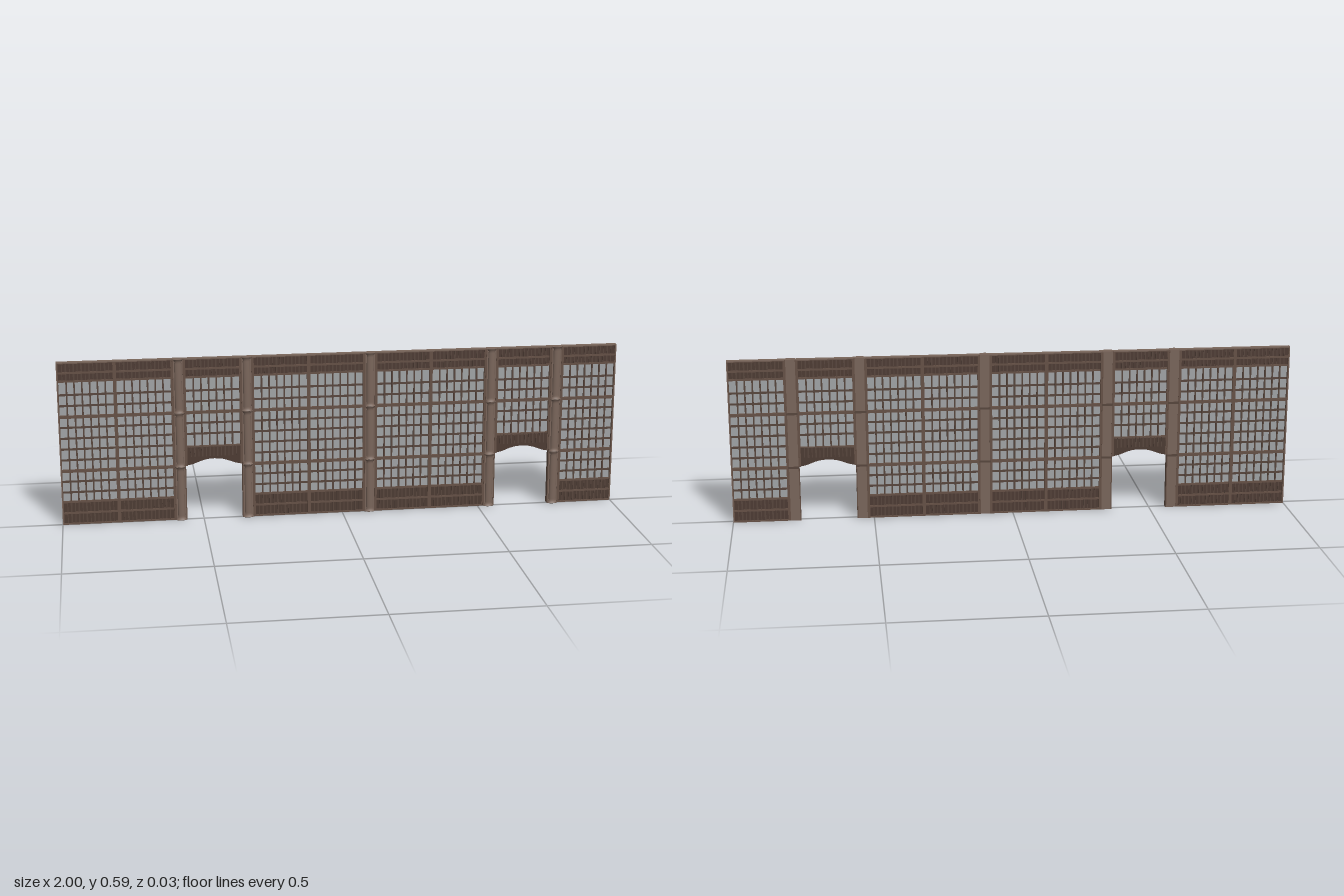
import * as THREE from 'three';
import { mergeGeometries } from 'three/addons/utils/BufferGeometryUtils.js';

const H = 0.59, ZB = -0.015, ZF = 0.004, ZM = (ZB + ZF) / 2;
const LEVELS = [0, 0.197, 0.394, H];      // storey lines
const PITCH = 0.0394;                     // lattice row height
const SILL = 0.083, HEAD = 0.522, DOOR_SILL = 0.268;

const mat = color => new THREE.MeshStandardMaterial({ color });
const post = mat(0x7a665b), rail = mat(0x665146), lattice = mat(0x58463d);
const board = mat(0x4d3b33), glass = mat(0xa2a5a7);

// Box given by its limits
function box(x0, x1, y0, y1, z0 = ZB, z1 = ZF) {
  return new THREE.BoxGeometry(x1 - x0, y1 - y0, z1 - z0)
    .translate((x0 + x1) / 2, (y0 + y1) / 2, (z0 + z1) / 2);
}

function part(name, geometries, material) {
  const mesh = new THREE.Mesh(mergeGeometries(geometries), material);
  mesh.name = name;
  return mesh;
}

// Board over a doorway, its lower edge a shallow arch
function archBoard(x0, x1) {
  const w = x1 - x0, s = new THREE.Shape();
  s.moveTo(x0, DOOR_SILL);
  s.lineTo(x0, 0.2);
  s.bezierCurveTo(x0 + w * 0.2, 0.203, x0 + w * 0.25, 0.223, x0 + w / 2, 0.223);
  s.bezierCurveTo(x1 - w * 0.25, 0.223, x1 - w * 0.2, 0.203, x1, 0.2);
  s.lineTo(x1, DOOR_SILL);
  return s;
}
function extrude(shape, z0, z1) {
  return new THREE.ExtrudeGeometry(shape, { depth: z1 - z0, bevelEnabled: false, curveSegments: 8 })
    .translate(0, 0, z0);
}

// One 0.2 wide panel of glass, lattice and slatted boards
function makePanel(x0, x1, isDoor) {
  const g = new THREE.Group();
  g.name = isDoor ? 'doorPanel' : 'wallPanel';
  const low = isDoor ? DOOR_SILL : SILL;
  const e = 0.006, a = x0 + e, b = x1 - e;

  g.add(part('panes', [box(a, b, low, HEAD, ZM - 0.001, ZM + 0.001)], glass));

  const bars = [];
  const n = 7, step = (b - a) / n;
  for (let i = 1; i < n; i++) {
    const x = a + i * step;
    bars.push(box(x - 0.0028, x + 0.0028, low, HEAD, ZM - 0.005, ZM + 0.005));
  }
  for (let y = PITCH; y < HEAD - 0.01; y += PITCH) {
    if (y > low + 0.01) bars.push(box(a, b, y - 0.0035, y + 0.0035, ZM - 0.004, ZM + 0.004));
  }
  g.add(part('lattice', bars, lattice));

  // Solid boards at head and foot
  const boards = [box(a, b, HEAD, H - 0.004, ZM - 0.004, ZM + 0.004)];
  if (!isDoor) boards.push(box(a, b, 0.004, SILL, ZM - 0.004, ZM + 0.004));
  g.add(part('boards', boards, board));
  if (isDoor) g.add(part('archBoard', [extrude(archBoard(x0, x1), ZM - 0.007, ZM + 0.007)], board));

  // Upright slats over the boards
  const slats = [];
  const m = n * 2;
  for (let i = 1; i < m; i++) {
    const x = a + (i * (b - a)) / m, w = i % 2 ? 0.0016 : 0.0028;
    slats.push(box(x - w, x + w, HEAD, H - 0.004, ZM - 0.006, ZM + 0.006));
    slats.push(isDoor
      ? box(x - w, x + w, 0.232, DOOR_SILL, ZM - 0.009, ZM + 0.009)
      : box(x - w, x + w, 0.004, SILL, ZM - 0.006, ZM + 0.006));
  }
  g.add(part('slats', slats, lattice));

  // Stiles and rails framing the panel
  const bottom = isDoor ? 0.2 : 0;
  const frame = [box(x0, a, bottom, H), box(b, x1, bottom, H)];
  for (const y of [low, HEAD, HEAD + 0.03, ...(isDoor ? [] : [0.042])])
    frame.push(box(a, b, y - 0.0035, y + 0.0035, ZM - 0.007, ZM + 0.007));
  for (const y of LEVELS) {
    if (isDoor && y < 0.25) continue;
    const y0 = Math.max(0, y - 0.005), y1 = Math.min(H, y + 0.005);
    frame.push(box(a, b, y0, y1));
  }
  g.add(part('frame', frame, rail));
  return g;
}

// Half-round column in three storeys, flared at every storey line
function makeColumn(x) {
  const g = new THREE.Group();
  g.name = 'column';
  g.add(part('columnPost', [box(x - 0.02, x + 0.02, 0, H)], post));

  const shafts = [];
  for (let i = 0; i < 3; i++) {
    const y0 = LEVELS[i], y1 = LEVELS[i + 1];
    const foot = [[0, 0], [1.5, 0], [1.5, 0.002], [1.15, 0.004], [1.2, 0.007], [0.85, 0.01], [1, 0.016]];
    const pts = [
      ...foot.map(([r, y]) => new THREE.Vector2(r * 0.0075, y0 + y)),
      ...foot.slice().reverse().map(([r, y]) => new THREE.Vector2(r * 0.0075, y1 - y)),
    ];
    shafts.push(new THREE.LatheGeometry(pts, 12, -Math.PI / 2, Math.PI)
      .scale(1.7, 1, 1).translate(x, 0, ZF - 0.0005));
  }
  const round = part('columnShaft', shafts, post.clone());
  round.material.side = THREE.DoubleSide;
  g.add(round);

  // Dark bands at the storey lines, and edge fillets on both faces
  const bands = LEVELS.slice(1, 3).map(y => box(x - 0.0202, x + 0.0202, y - 0.004, y + 0.004, ZB - 0.0004, ZF + 0.0008));
  g.add(part('columnBands', bands, lattice));
  const fillets = [-0.0185, 0.0185].map(d => box(x + d - 0.0018, x + d + 0.0018, 0, H, ZB - 0.0003, ZF + 0.001));
  g.add(part('columnFillets', fillets, rail));
  return g;
}

export function createModel() {
  const model = new THREE.Group();
  model.name = 'screenWall';

  // Left edge of every panel, with the doorways marked
  const panels = [
    [-1, false], [-0.8, false], [-0.56, true], [-0.32, false], [-0.12, false],
    [0.12, false], [0.32, false], [0.56, true], [0.8, false],
  ];
  for (const [x, isDoor] of panels) model.add(makePanel(x, x + 0.2, isDoor));
  for (const x of [-0.58, -0.34, 0.1, 0.54, 0.78]) model.add(makeColumn(x));

  // End posts and top cap
  model.add(part('endPosts', [box(-1, -0.997, 0, H, ZB - 0.0003, ZF + 0.0003), box(0.997, 1, 0, H, ZB - 0.0003, ZF + 0.0003)], post));
  model.add(part('topCap', [box(-1, 1, H - 0.003, H + 0.0005, ZB - 0.0003, ZF + 0.0005)], post));
  return model;
}
